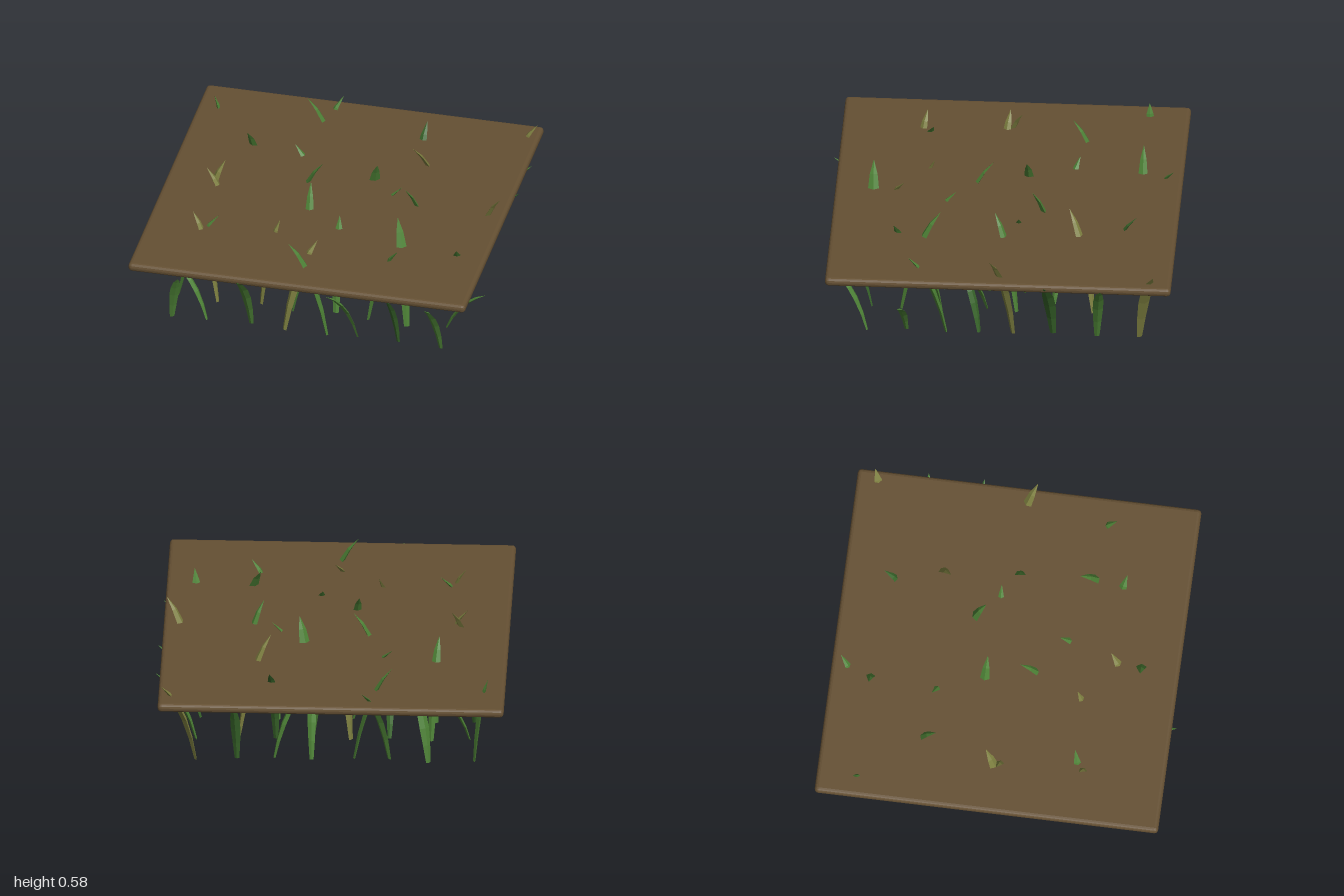
import * as THREE from 'three';
import { RoundedBoxGeometry } from 'three/addons/geometries/RoundedBoxGeometry.js';

const mat = (name, hex) => {
  const m = new THREE.MeshStandardMaterial({ color: hex });
  m.name = name;
  return m;
};

function seeded(seed) {
  return () => {
    seed = (seed * 16807) % 2147483647;
    return seed / 2147483647;
  };
}

// Base positions of the blades: an 8 x 8 grid
const XS = [-0.8, -0.57, -0.35, -0.13, 0.11, 0.31, 0.53, 0.76];
const ZS = [-0.79, -0.55, -0.32, -0.115, 0.08, 0.31, 0.53, 0.745];

// Tall blades that pierce the soil: column, row, tip x, y, z
const TALL = [
  [0, 0, -0.9, 0.52, -0.77], [3, 0, -0.355, 0.58, -0.77], [2, 0, -0.19, 0.51, -0.95],
  [5, 1, 0.34, 0.53, -0.77], [7, 0, 0.95, 0.51, -0.9], [7, 1, 0.99, 0.43, -0.6],
  [7, 2, 0.99, 0.44, -0.28], [1, 1, -0.61, 0.57, -0.355], [3, 2, -0.345, 0.5, -0.41],
  [6, 1, 0.345, 0.58, -0.39], [4, 2, 0.19, 0.58, -0.17], [2, 3, -0.115, 0.58, -0.12],
  [4, 3, 0.35, 0.5, -0.1], [1, 4, -0.76, 0.54, 0.01], [0, 4, -0.67, 0.56, -0.06],
  [6, 3, 0.4, 0.57, 0.03], [7, 3, 0.95, 0.58, 0.03], [3, 5, -0.14, 0.57, 0.07],
  [4, 6, 0.075, 0.5, 0.27], [2, 6, -0.24, 0.51, 0.41], [0, 6, -0.59, 0.51, 0.44],
  [1, 6, -0.73, 0.54, 0.48], [6, 6, 0.43, 0.58, 0.34], [7, 5, 0.81, 0.51, 0.5],
  [5, 6, 0.49, 0.52, 0.6], [3, 7, 0.015, 0.51, 0.57], [4, 7, -0.11, 0.58, 0.75],
  [2, 7, -0.36, 0.43, 0.99],
];

// Short blades with a set direction, same layout
const SHORT = [
  [7, 7, 0.72, 0.36, 0.93], [0, 7, -0.73, 0.32, 0.86], [3, 1, -0.06, 0.42, -0.48],
  [0, 5, -0.95, 0.36, 0.34], [7, 6, 0.99, 0.27, 0.55],
];

// Colour of every blade, row by row: g green, d dark green, o olive
const COLOURS = ['ggggggdo', 'ggdogdog', 'dggggggd', 'gdgggggo',
  'oogdgggd', 'gggggggg', 'googgggg', 'gggoggdg'];

// Width along the blade from root to tip
const RINGS = [[0, 0.48], [0.2, 0.78], [0.42, 1], [0.62, 0.97], [0.82, 0.64], [1, 0.03]];

// Curved, pointed blade with a flattened diamond section
function bladeGeometry(root, tip, halfWidth) {
  const lean = tip.clone().sub(root).setY(0);
  const bend = root.clone().addScaledVector(lean, 0.32).setY(tip.y * 0.74);
  const path = new THREE.QuadraticBezierCurve3(root, bend, tip);
  const side = new THREE.Vector3(lean.z, 0, -lean.x).normalize();
  const pos = [], idx = [0, 3, 2, 0, 2, 1];
  RINGS.forEach(([t, w], k) => {
    const p = path.getPoint(t);
    const n = path.getTangent(t).cross(side).normalize();
    const a = halfWidth * w;
    for (const [s, d] of [[a, 0], [0, a * 0.45], [-a, 0], [0, -a * 0.45]]) {
      const v = p.clone().addScaledVector(side, s).addScaledVector(n, d);
      pos.push(v.x, Math.max(0, v.y), v.z);
    }
    if (k === 0) return;
    for (let c = 0; c < 4; c++) {
      const lo = (k - 1) * 4, hi = k * 4, e = (c + 1) % 4;
      idx.push(lo + c, lo + e, hi + e, lo + c, hi + e, hi + c);
    }
  });
  const g = new THREE.BufferGeometry();
  g.setAttribute('position', new THREE.Float32BufferAttribute(pos, 3));
  g.setIndex(idx);
  const flat = g.toNonIndexed();
  flat.computeVertexNormals();
  return flat;
}

export function createModel() {
  const model = new THREE.Group();
  model.name = 'grassPatch';
  const soilBrown = mat('soilBrown', 0x655033);
  const greens = {
    g: mat('leafGreen', 0x4c8035),
    d: mat('darkGreen', 0x38652a),
    o: mat('olive', 0x7c7e3f),
  };

  // Soil slab with faceted, rounded edges
  const slabGeometry = new RoundedBoxGeometry(1.965, 0.05, 1.965, 2, 0.022);
  slabGeometry.computeVertexNormals();
  const slab = new THREE.Mesh(slabGeometry, soilBrown);
  slab.position.set(-0.015, 0.422, -0.018);
  slab.name = 'soilSlab';
  model.add(slab);

  // Grass blades
  const grass = new THREE.Group();
  grass.name = 'grass';
  model.add(grass);
  const rnd = seeded(4711);
  const clamp = (v) => THREE.MathUtils.clamp(v, -0.95, 0.98);
  ZS.forEach((z, row) => XS.forEach((x, col) => {
    const root = new THREE.Vector3(x + (rnd() - 0.5) * 0.05, 0, z + (rnd() - 0.5) * 0.05);
    const angle = rnd() * Math.PI * 2, reach = 0.1 + rnd() * 0.13;
    const height = 0.27 + rnd() * 0.15, width = 0.021 + rnd() * 0.009;
    const here = (b) => b[0] === col && b[1] === row;
    const tall = TALL.find(here);
    const set = tall || SHORT.find(here);
    const tip = set
      ? new THREE.Vector3(set[2], set[3], set[4])
      : new THREE.Vector3(clamp(root.x + Math.cos(angle) * reach), height,
        clamp(root.z + Math.sin(angle) * reach));
    const blade = new THREE.Mesh(bladeGeometry(root, tip, tall ? width + 0.005 : width),
      greens[COLOURS[row][col]]);
    blade.name = 'grassBlade';
    grass.add(blade);
  }));
  return model;
}
